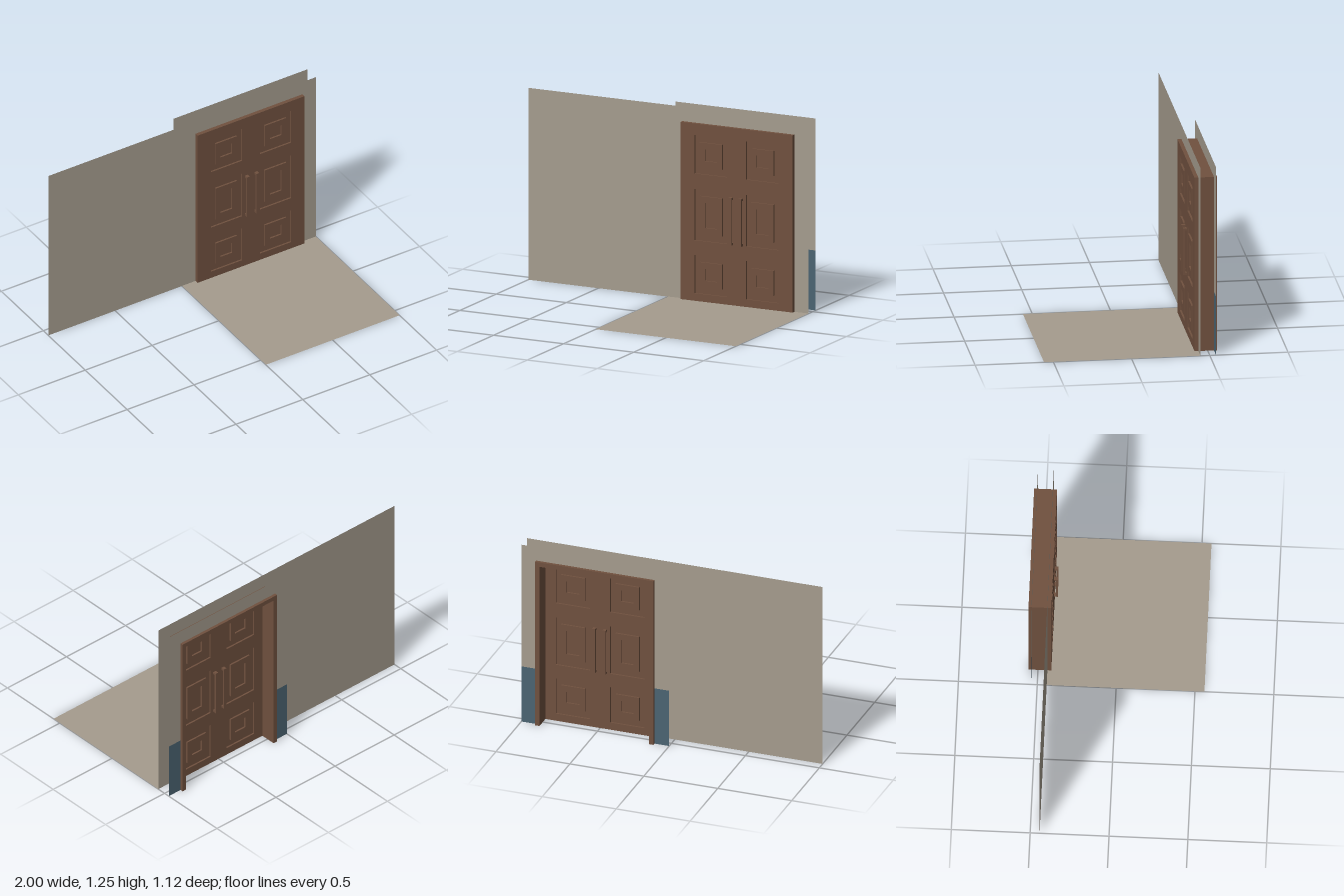
import * as THREE from 'three';

const wood = new THREE.MeshStandardMaterial({ color: 0x70513f });
wood.name = 'brown wood';
const plaster = new THREE.MeshStandardMaterial({ color: 0xa59c8e, side: THREE.DoubleSide });
plaster.name = 'warm grey plaster';
const blue = new THREE.MeshStandardMaterial({ color: 0x4b6472, side: THREE.DoubleSide });
blue.name = 'slate blue paint';

// Depths of the doorway, front to back
const FRONT = -0.415, LEAF_BACK = -0.452, BACK = -0.56;
const LEAF_MID = (FRONT + LEAF_BACK) / 2;
const LEAF_T = FRONT - LEAF_BACK;

function rectPath(Type, x0, y0, x1, y1) {
  const p = new Type();
  p.moveTo(x0, y0);
  p.lineTo(x1, y0);
  p.lineTo(x1, y1);
  p.lineTo(x0, y1);
  p.closePath();
  return p;
}

function add(parent, name, geometry, material) {
  const m = new THREE.Mesh(geometry, material);
  m.name = name;
  parent.add(m);
  return m;
}

// Box given by its two corners
function box(parent, name, x0, x1, y0, y1, z0, z1, material = wood) {
  const g = new THREE.BoxGeometry(x1 - x0, y1 - y0, Math.abs(z1 - z0));
  const m = add(parent, name, g, material);
  m.position.set((x0 + x1) / 2, (y0 + y1) / 2, (z0 + z1) / 2);
  return m;
}

// Flat wall with a doorway cut up from its lower edge
function wall(parent, name, x0, y0, z, material) {
  const s = new THREE.Shape([
    [x0, y0], [0.11, y0], [0.11, 1.145], [0.89, 1.145], [0.89, y0],
    [1, y0], [1, 1.25], [x0, 1.25],
  ].map(([x, y]) => new THREE.Vector2(x, y)));
  add(parent, name, new THREE.ShapeGeometry(s), material).position.z = z;
}

function plate(parent, name, x0, x1, y0, y1, z, material) {
  const m = add(parent, name, new THREE.PlaneGeometry(x1 - x0, y1 - y0), material);
  m.position.set((x0 + x1) / 2, (y0 + y1) / 2, z);
}

export function createModel() {
  const root = new THREE.Group();
  root.name = 'doorway';

  // Walls and floor
  wall(root, 'frontWall', -1, 0, -0.44, plaster);
  wall(root, 'backWall', 0, 0.39, -0.54, plaster);
  plate(root, 'wainscotRight', 0, 0.11, 0, 0.39, -0.54, blue);
  plate(root, 'wainscotLeft', 0.89, 1, 0, 0.39, -0.54, blue);
  const floor = add(root, 'floor', new THREE.PlaneGeometry(1, 1), plaster);
  floor.rotation.x = -Math.PI / 2;
  floor.position.set(0.5, 0.001, 0.06);

  // Frame behind the door
  const frame = new THREE.Group();
  frame.name = 'frame';
  root.add(frame);
  box(frame, 'jambRight', 0.1, 0.13, 0, 1.155, LEAF_BACK, BACK);
  box(frame, 'jambLeft', 0.87, 0.9, 0, 1.155, LEAF_BACK, BACK);
  box(frame, 'lintel', 0.13, 0.87, 1.125, 1.155, LEAF_BACK, BACK);

  // Door slab with sunken panels, the same on both faces
  const door = new THREE.Group();
  door.name = 'door';
  root.add(door);
  const slab = rectPath(THREE.Shape, 0.1, 0, 0.9, 1.155);
  const columns = [[0.2, 0.432], [0.568, 0.8]];
  const rows = [[0.05, 0.3], [0.395, 0.73], [0.83, 1.08]];
  const opts = { depth: LEAF_T, bevelEnabled: false };
  for (const [x0, x1] of columns) {
    for (const [y0, y1] of rows) {
      slab.holes.push(rectPath(THREE.Path, x0, y0, x1, y1));
      box(door, 'panelCore', x0, x1, y0, y1, LEAF_MID - 0.007, LEAF_MID + 0.007);
      // Raised border around the sunken centre
      const ring = rectPath(THREE.Shape, x0 + 0.036, y0 + 0.045, x1 - 0.036, y1 - 0.043);
      ring.holes.push(rectPath(THREE.Path, x0 + 0.073, y0 + 0.088, x1 - 0.073, y1 - 0.085));
      add(door, 'panelBorder', new THREE.ExtrudeGeometry(ring, opts), wood).position.z = LEAF_BACK;
    }
  }
  add(door, 'doorSlab', new THREE.ExtrudeGeometry(slab, opts), wood).position.z = LEAF_BACK;

  // Pull handles on both faces
  for (const [face, dir] of [[FRONT, 1], [LEAF_BACK, -1]]) {
    for (const x of [0.465, 0.535]) {
      const handle = new THREE.Group();
      handle.name = dir > 0 ? 'frontHandle' : 'backHandle';
      door.add(handle);
      const inner = face + dir * 0.014, outer = face + dir * 0.025;
      box(handle, 'bar', x - 0.011, x + 0.011, 0.395, 0.705, inner, outer);
      box(handle, 'lowerPost', x - 0.011, x + 0.011, 0.395, 0.41, face, inner);
      box(handle, 'upperPost', x - 0.011, x + 0.011, 0.69, 0.705, face, inner);
    }
  }
  return root;
}
